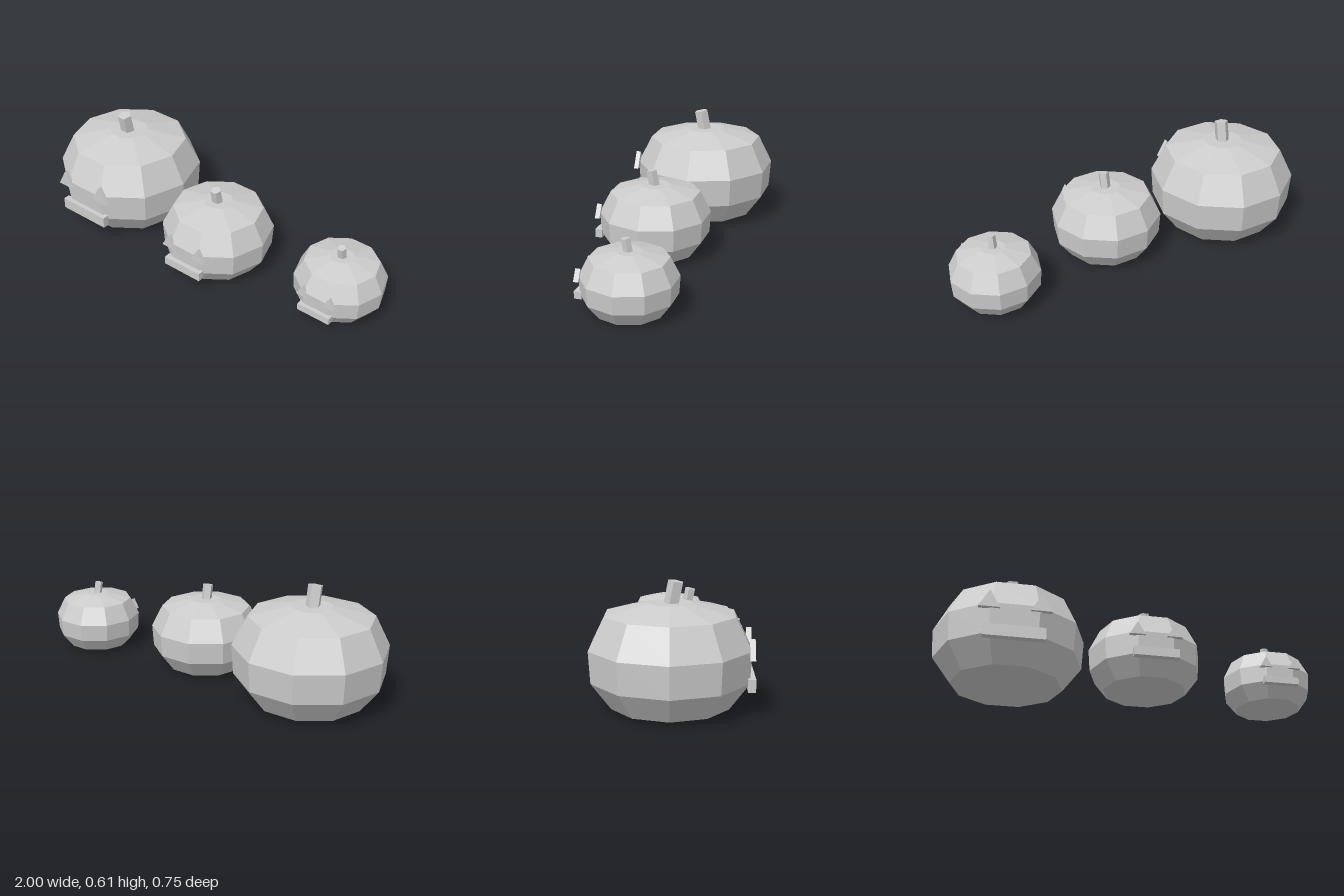
import * as THREE from 'three';

const grey = new THREE.MeshStandardMaterial({ color: 0xcccccc, flatShading: true });
grey.name = 'light grey';

// Squashed ten-sided body, from bottom pole to top centre (radius, height)
const profile = [[0, 0], [0.282, 0.024], [0.376, 0.15], [0.386, 0.3], [0.31, 0.452], [0.103, 0.502], [0, 0.5]]
  .map(([r, y]) => new THREE.Vector2(r, y));

function part(name, geometry, parent, x = 0, y = 0, z = 0) {
  const mesh = new THREE.Mesh(geometry, grey);
  mesh.name = name;
  mesh.position.set(x, y, z);
  parent.add(mesh);
  return mesh;
}

// s scales the pumpkin; eyeZ and mouthZ are the world depths of the face parts
function pumpkin(name, s, x, z, eyeZ, mouthZ) {
  const group = new THREE.Group();
  group.name = name;
  group.position.set(x, 0, z);

  const body = new THREE.LatheGeometry(profile, 10, Math.PI / 10);
  body.scale(s, s, s);
  part('body', body, group);

  // Five-sided stem leaning forward
  const stem = new THREE.CylinderGeometry(0.0375 * s, 0.0375 * s, 0.2 * s, 5);
  stem.rotateY(Math.PI);
  part('stem', stem, group, 0, 0.502 * s, 0.008 * s).rotation.x = 0.2;

  // Triangular eyes
  for (const side of [-1, 1]) {
    const eye = new THREE.CylinderGeometry(0.06 * s, 0.06 * s, 0.025, 3);
    eye.rotateX(-Math.PI / 2); // one corner points up
    part(side > 0 ? 'leftEye' : 'rightEye', eye, group, side * 0.125 * s, 0.302 * s, eyeZ - z);
  }

  // Bar mouth
  part('mouth', new THREE.BoxGeometry(0.3 * s, 0.06 * s, 0.036), group, 0, 0.151 * s, mouthZ - z);
  return group;
}

export function createModel() {
  const model = new THREE.Group();
  model.name = 'pumpkins';
  model.add(
    pumpkin('largePumpkin', 1, -0.614, -0.008, 0.359, 0.358),
    pumpkin('mediumPumpkin', 0.75, 0.075, 0.071, 0.347, 0.348),
    pumpkin('smallPumpkin', 0.6, 0.765, -0.031, 0.188, 0.188),
  );
  return model;
}
